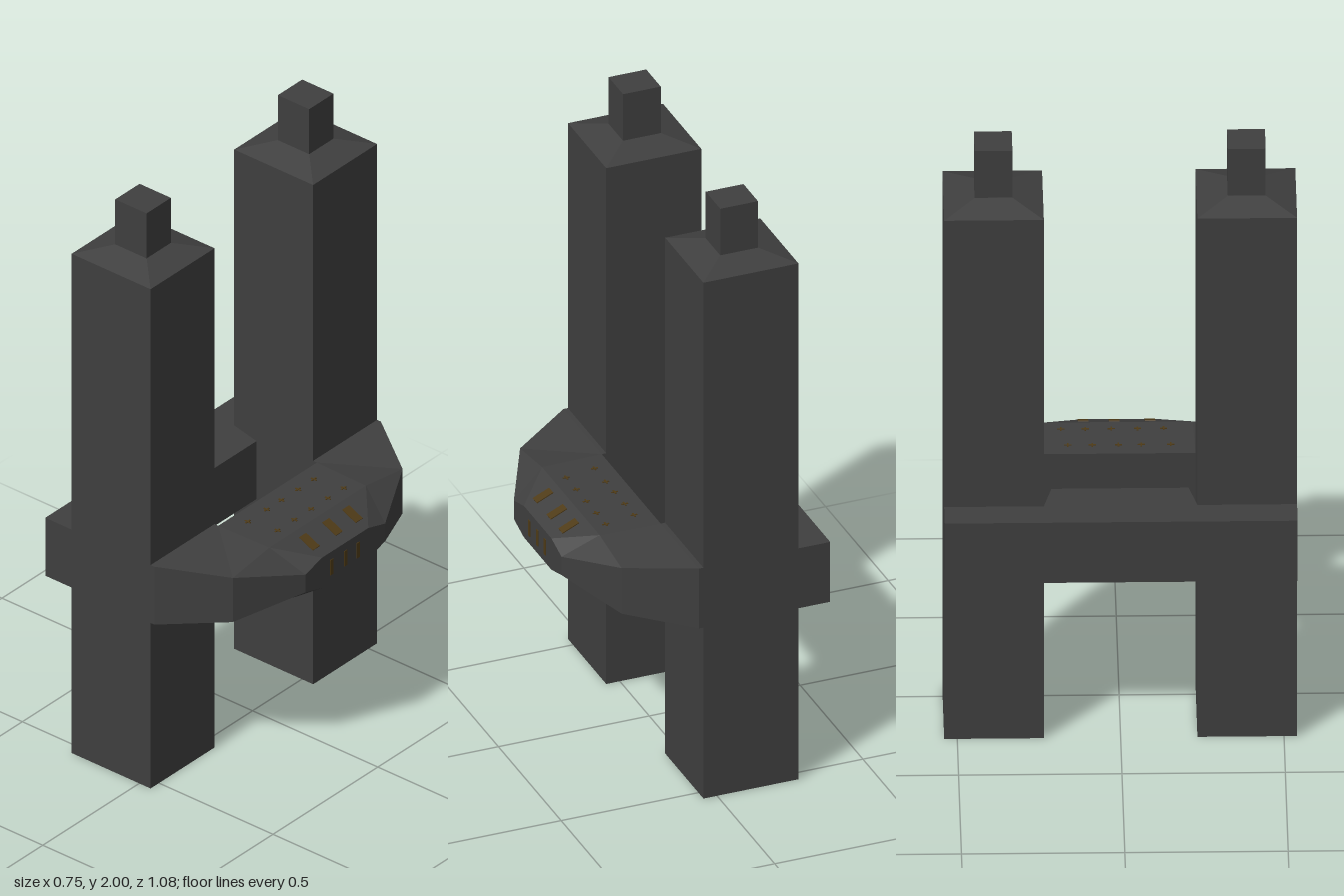
import * as THREE from 'three';

const MID = 0.705; // mid height of the connecting ring

export function createModel() {
  const hull = new THREE.MeshStandardMaterial({ color: 0x3f3f3f });
  hull.name = 'dark grey hull';
  const amber = new THREE.MeshStandardMaterial({ color: 0x4f3b17 });
  amber.name = 'dim amber lights';

  const model = new THREE.Group();
  model.name = 'twinTowerStation';

  const add = (parent, name, geometry, material, x = 0, y = 0, z = 0) => {
    const mesh = new THREE.Mesh(geometry, material);
    mesh.name = name;
    mesh.position.set(x, y, z);
    parent.add(mesh);
    return mesh;
  };
  const box = (w, h, d) => new THREE.BoxGeometry(w, h, d);

  // Two towers with a sloped cap and a square mast
  for (const s of [1, -1]) {
    const tower = new THREE.Group();
    tower.name = s > 0 ? 'frontTower' : 'backTower';
    tower.position.set(-0.1125, 0, s * 0.3875);
    add(tower, 'shaft', box(0.315, 1.81, 0.305), hull, 0, 0.905, 0);
    let cap = box(0.315, 0.027, 0.305);
    const p = cap.attributes.position;
    for (let i = 0; i < p.count; i++) {
      if (p.getY(i) > 0) p.setXYZ(i, p.getX(i) * 0.4, p.getY(i), p.getZ(i) * 0.38);
    }
    cap = cap.toNonIndexed();
    cap.computeVertexNormals();
    add(tower, 'slopedCap', cap, hull, 0, 1.8235, 0);
    add(tower, 'mast', box(0.125, 0.165, 0.116), hull, 0, 1.9175, 0);
    model.add(tower);
  }

  // Rear beam with an inner block that narrows between the towers
  const outline = new THREE.Shape([
    [-0.375, -0.54], [-0.27, -0.54], [-0.27, -0.235], [-0.16, -0.21],
    [-0.16, 0.21], [-0.27, 0.235], [-0.27, 0.54], [-0.375, 0.54],
  ].map(([x, z]) => new THREE.Vector2(x, z)));
  const beam = new THREE.ExtrudeGeometry(outline, { depth: 0.21, bevelEnabled: false });
  beam.rotateX(-Math.PI / 2);
  add(model, 'rearBeam', beam, hull, 0, 0.6, 0);

  // Faceted bridge, defined by one corner and mirrored in y and z
  const corner = {
    A: [0.06, 0.105, 0.235], B: [0.06, 0.105, 0.54], C: [0.26, 0.08, 0.405],
    D: [0.26, 0.105, 0.23], E: [0.37, 0.055, 0.11], F: [0.37, 0.032, 0.19],
  };
  const verts = [];
  const centre = new THREE.Vector3(0.2, 0, 0);
  const tri = (a, b, c) => {
    const mean = a.clone().add(b).add(c).divideScalar(3).sub(centre);
    const normal = b.clone().sub(a).cross(c.clone().sub(a));
    const order = normal.dot(mean) < 0 ? [a, c, b] : [a, b, c];
    for (const v of order) verts.push(v.x, v.y, v.z);
  };
  const quad = (a, b, c, d) => { tri(a, b, c); tri(a, c, d); };
  const at = (key, sy, sz) => {
    const [x, y, z] = corner[key];
    return new THREE.Vector3(x, y * sy, z * sz);
  };
  for (const sy of [1, -1]) {
    for (const sz of [1, -1]) {
      for (const f of ['ABC', 'ACD', 'DCF', 'DFE']) tri(...[...f].map((k) => at(k, sy, sz)));
    }
    for (const [a, b] of ['AD', 'DE']) quad(at(a, sy, 1), at(b, sy, 1), at(b, sy, -1), at(a, sy, -1));
  }
  for (const sz of [1, -1]) {
    for (const [a, b] of ['AB', 'BC', 'CF', 'FE']) quad(at(a, 1, sz), at(b, 1, sz), at(b, -1, sz), at(a, -1, sz));
  }
  for (const k of ['A', 'E']) quad(at(k, 1, 1), at(k, 1, -1), at(k, -1, -1), at(k, -1, 1));
  const bridge = new THREE.BufferGeometry();
  bridge.setAttribute('position', new THREE.Float32BufferAttribute(verts, 3));
  bridge.computeVertexNormals();
  add(model, 'facetedBridge', bridge, hull, 0, MID, 0);
  for (const s of [1, -1]) add(model, 'bridgeJoint', box(0.03, 0.21, 0.305), hull, 0.045, MID, s * 0.3875);

  // Amber lights on the bevels and on the end face
  const slope = Math.atan2(0.05, 0.11);
  for (const z of [-0.105, -0.01, 0.1]) {
    for (const s of [1, -1]) {
      const lamp = add(model, 'bevelLight', box(0.06, 0.006, 0.032), amber, 0.31, MID + s * 0.0823, z);
      lamp.rotation.z = -s * slope;
    }
  }
  for (const z of [-0.06, 0, 0.065]) add(model, 'endLight', box(0.006, 0.055, 0.014), amber, 0.369, MID, z);

  // Tiny cross-shaped lights on the upper deck
  const rows = [[0.115, [-0.155, -0.08, 0, 0.07, 0.16]], [0.217, [-0.175, -0.1, -0.02, 0.06, 0.14]]];
  for (const [x, zs] of rows) {
    for (const z of zs) {
      add(model, 'deckLight', box(0.022, 0.004, 0.005), amber, x, 0.81, z);
      add(model, 'deckLight', box(0.005, 0.004, 0.022), amber, x, 0.81, z);
    }
  }
  return model;
}
